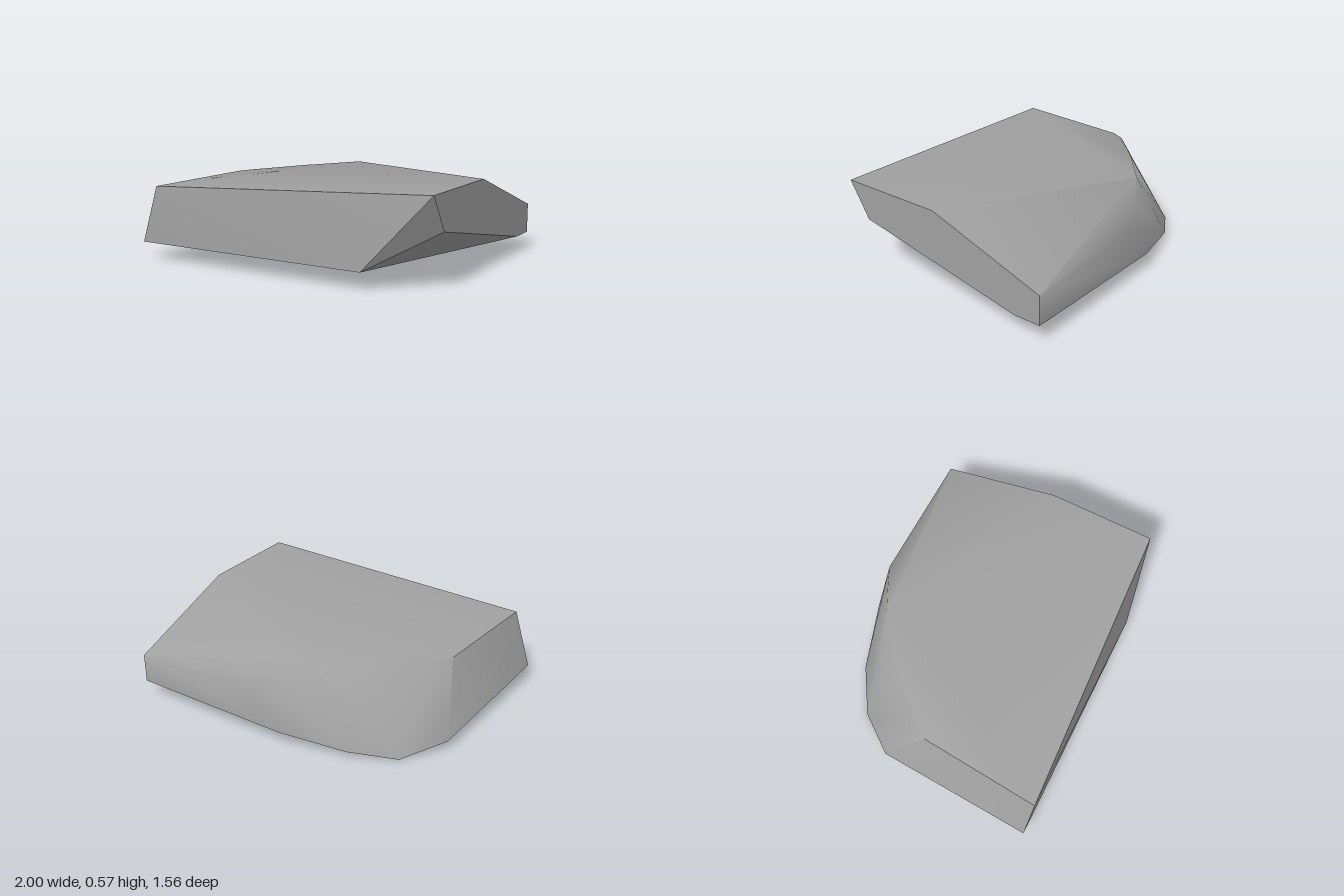
import * as THREE from 'three';
import { ConvexGeometry } from 'three/addons/geometries/ConvexGeometry.js';
import { toCreasedNormals } from 'three/addons/utils/BufferGeometryUtils.js';

// Corners of the slab, ring by ring
const topRim = [
  [-0.88, 0.48, 0.78], [1, 0.57, 0.69], [1, 0.57, 0], [1, 0.3, -0.78], [0.13, 0.36, -0.78],
  [-0.02, 0.445, -0.7], [-0.2, 0.525, -0.6], [-0.5, 0.507, -0.355], [-0.77, 0.487, -0.1], [-0.82, 0.485, 0],
];
const bottomRim = [
  [-1, 0.11, 0.78], [0.59, 0.11, 0.775], [1, 0.11, -0.6], [1, 0.11, -0.78],
  [-0.07, 0.1, -0.78], [-0.48, 0.045, -0.66], [-0.75, 0, -0.5], [-0.94, 0.06, -0.25],
];
const chippedCorner = [[1, 0.345, 0.55]];

// Collect the triangles whose face normal passes a test
function pickFaces(hull, test) {
  const p = hull.attributes.position;
  const tri = new THREE.Triangle();
  const normal = new THREE.Vector3();
  const points = [];
  for (let i = 0; i < p.count; i += 3) {
    tri.setFromAttributeAndIndices(p, i, i + 1, i + 2);
    tri.getNormal(normal);
    if (test(normal)) points.push(tri.a.clone(), tri.b.clone(), tri.c.clone());
  }
  return new THREE.BufferGeometry().setFromPoints(points);
}

export function createModel() {
  const group = new THREE.Group();
  group.name = 'rockSlab';
  const stone = new THREE.MeshStandardMaterial({ name: 'greyStone', color: 0xa0a0a0 });

  const corners = [...topRim, ...bottomRim, ...chippedCorner].map((c) => new THREE.Vector3(...c));
  const hull = new ConvexGeometry(corners);

  const add = (name, geometry, crease) => {
    const mesh = new THREE.Mesh(toCreasedNormals(geometry, THREE.MathUtils.degToRad(crease)), stone);
    mesh.name = name;
    group.add(mesh);
  };

  // Worn top and rounded back wall blend softly; broken side and underside stay sharp
  const isBroken = (n) => n.x > 0.3 || n.y < -0.4;
  add('wornSurface', pickFaces(hull, (n) => !isBroken(n)), 65);
  add('brokenFaces', pickFaces(hull, isBroken), 25);
  return group;
}
